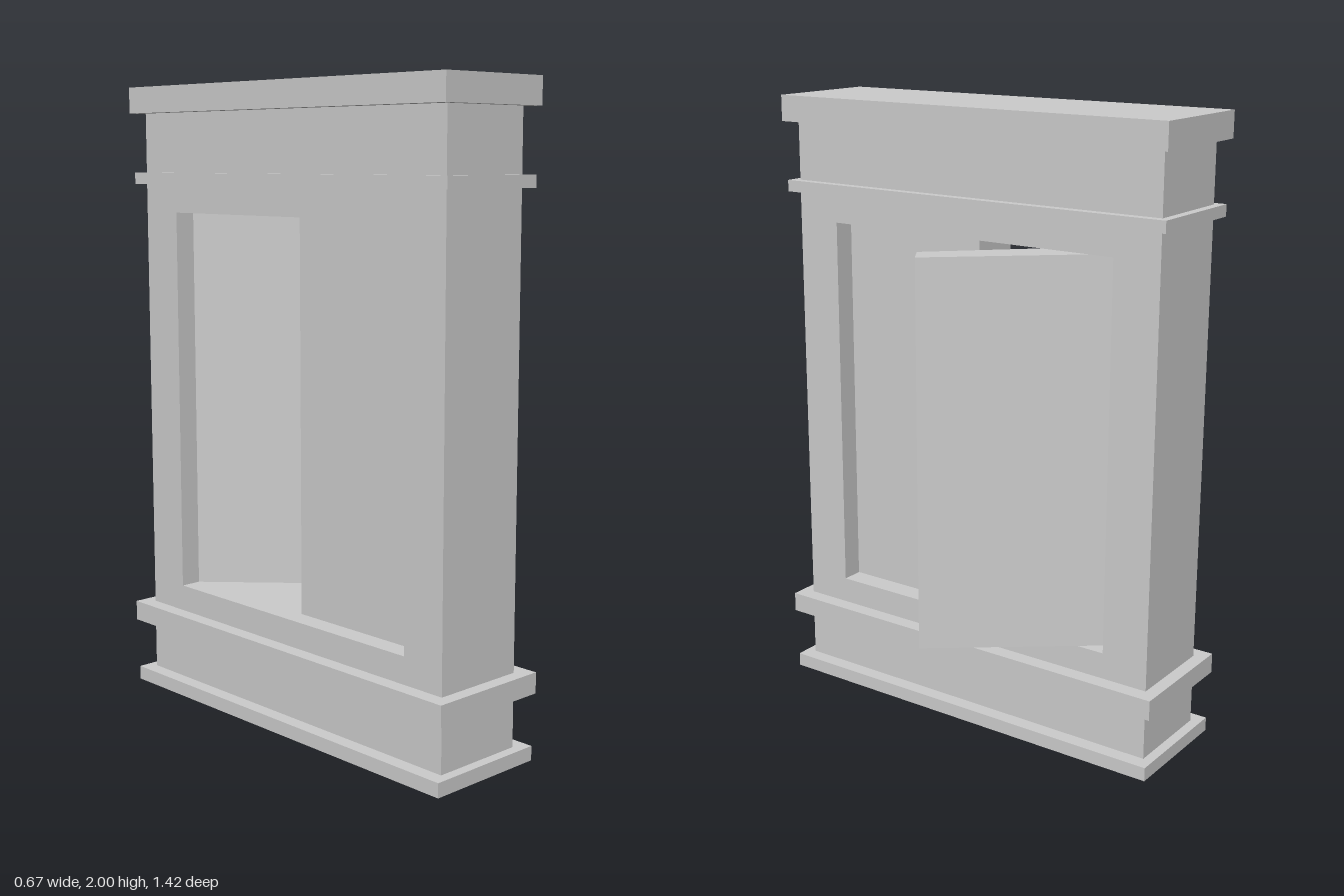
import * as THREE from 'three';

const MID = -0.132; // centre of the wall's thickness
const material = new THREE.MeshStandardMaterial({ color: 0xcccccc, flatShading: true });

export function createModel() {
  const group = new THREE.Group();
  const add = (name, geometry, x = 0, y = 0, z = 0) => {
    const mesh = new THREE.Mesh(geometry, material);
    mesh.name = name;
    mesh.position.set(x, y, z);
    group.add(mesh);
    return mesh;
  };

  // Wall with a through opening, drawn in the z-y plane and extruded along -x
  const rect = (path, z0, z1, y0, y1) => {
    path.moveTo(z0, y0);
    path.lineTo(z1, y0);
    path.lineTo(z1, y1);
    path.lineTo(z0, y1);
    path.closePath();
    return path;
  };
  const outline = rect(new THREE.Shape(), -0.67, 0.67, 0.02, 1.96);
  outline.holes.push(rect(new THREE.Path(), -0.515, 0.52, 0.36, 1.6));
  const wall = add('wall', new THREE.ExtrudeGeometry(outline, { depth: 0.31, bevelEnabled: false }), 0.022);
  wall.rotation.y = -Math.PI / 2;

  // Horizontal trims: name, width, length, bottom, top
  const trims = [
    ['base', 0.405, 1.405, 0, 0.045],
    ['lowerBand', 0.41, 1.425, 0.21, 0.275],
    ['upperBand', 0.367, 1.395, 1.69, 1.727],
    ['cornice', 0.394, 1.405, 1.917, 2],
  ];
  for (const [name, w, d, y0, y1] of trims) {
    add(name, new THREE.BoxGeometry(w, y1 - y0, d), MID, (y0 + y1) / 2, 0);
  }

  // Closed shutter, set into the middle of the wall
  add('closedShutter', new THREE.BoxGeometry(0.17, 1.24, 0.515), -0.135, 0.98, 0.2625);

  // Open shutter: hinge end stays in the opening, free end swings out and narrows
  const leaf = new THREE.BoxGeometry(0.17, 1.24, 0.5);
  const p = leaf.attributes.position;
  for (let i = 0; i < p.count; i++) {
    const outer = p.getX(i) > 0;
    const y = Math.sign(p.getY(i));
    if (p.getZ(i) > 0) p.setXYZ(i, outer ? 0.332 : 0.259, 0.98 + y * 0.615, outer ? -0.037 : 0.012);
    else p.setXYZ(i, outer ? -0.05 : -0.22, 0.98 + y * 0.62, -0.515);
  }
  leaf.computeVertexNormals();
  add('openShutter', leaf);

  return group;
}
